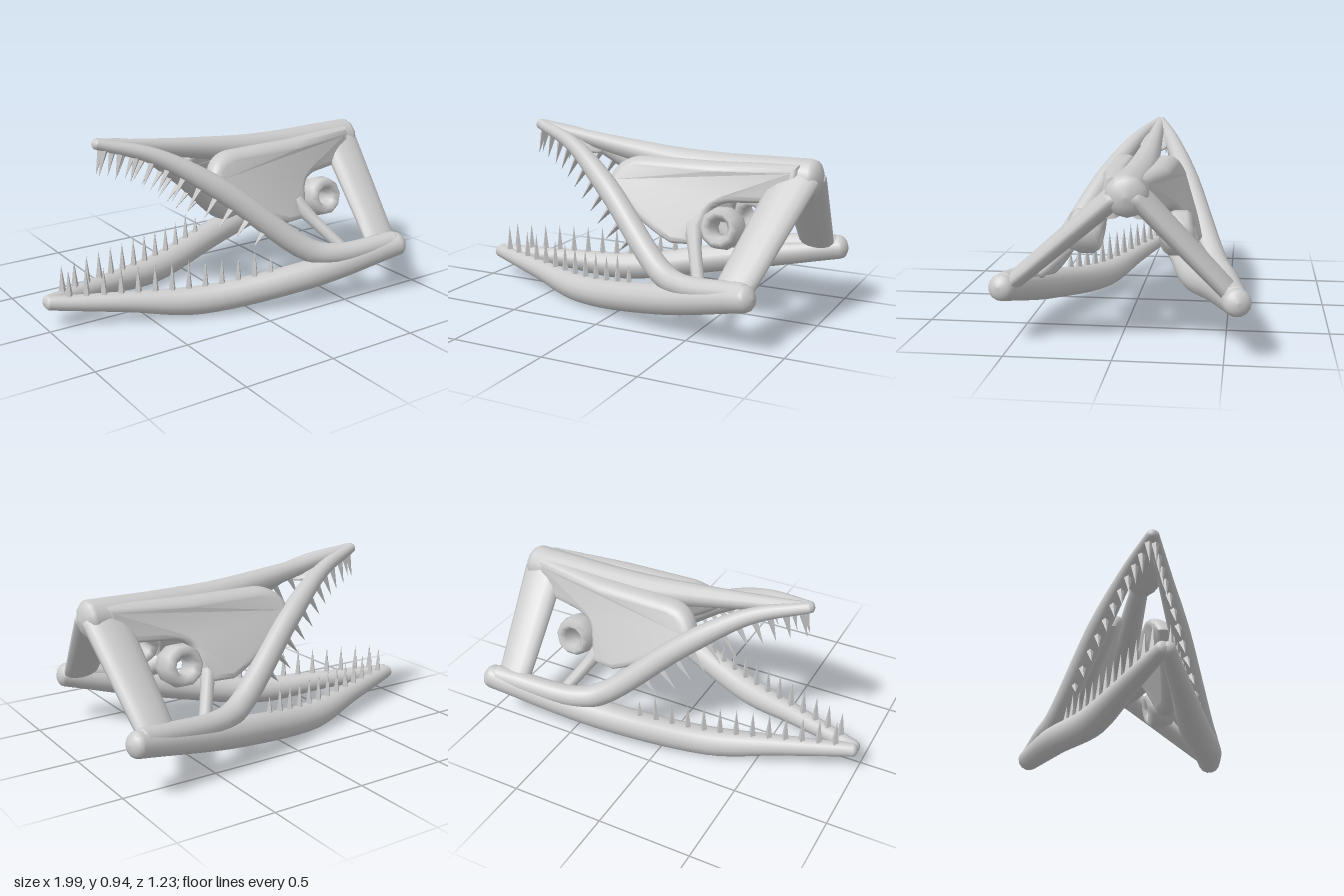
import * as THREE from 'three';
import { mergeVertices, toCreasedNormals } from 'three/addons/utils/BufferGeometryUtils.js';

const material = new THREE.MeshStandardMaterial({ color: 0xcccccc, side: THREE.DoubleSide });
const V = (x, y, z) => new THREE.Vector3(x, y, z);

// Point at distance w from the midline; the two sides are skewed towards the rear
const place = (s, x, y, w) =>
  V(x - s * 0.35 * w * Math.max(0, x - 0.55), y, -0.06 + w * (s + 0.1));

// Curve through [x, y, w, radius] stations on side s
function makePath(s, stations) {
  const curve = new THREE.CatmullRomCurve3(stations.map(([x, y, w]) => place(s, x, y, w)));
  const radii = new THREE.CatmullRomCurve3(stations.map(p => V(p[3], 0, 0)));
  return { curve, radius: t => radii.getPoint(t).x, steps: (stations.length - 1) * 7 };
}

// Round-ended bone of varying radius; refScale stretches the section along ref
function bone({ curve, radius, steps }, { ref = V(0, 1, 0), refScale = 1, sides = 14, cap = 0.7 } = {}) {
  const rings = [];
  const capAngles = [1.55, 1.1, 0.7, 0.35];
  for (const a of capAngles) rings.push([0, -Math.sin(a) * cap, Math.cos(a)]);
  for (let i = 0; i <= steps; i++) rings.push([i / steps, 0, 1]);
  for (const a of capAngles.reverse()) rings.push([1, Math.sin(a) * cap, Math.cos(a)]);

  const pos = [], index = [];
  rings.forEach(([t, push, scale], k) => {
    const r = radius(t);
    const tangent = curve.getTangent(t);
    const side = tangent.clone().cross(ref).normalize();
    const up = side.clone().cross(tangent);
    const c = curve.getPoint(t).addScaledVector(tangent, push * r);
    for (let j = 0; j < sides; j++) {
      const a = (j / sides) * Math.PI * 2;
      const p = c.clone()
        .addScaledVector(side, Math.cos(a) * r * scale)
        .addScaledVector(up, Math.sin(a) * r * scale * refScale);
      pos.push(p.x, p.y, p.z);
      if (k < rings.length - 1) {
        const n = (j + 1) % sides, o = k * sides, q = o + sides;
        index.push(o + j, q + j, o + n, o + n, q + j, q + n);
      }
    }
  });
  const g = new THREE.BufferGeometry();
  g.setAttribute('position', new THREE.Float32BufferAttribute(pos, 3));
  g.setIndex(index);
  g.computeVertexNormals();
  return g;
}

function add(parent, name, geometry) {
  const mesh = new THREE.Mesh(geometry, material);
  mesh.name = name;
  parent.add(mesh);
  return mesh;
}

// Slim four-sided tooth standing on base
function tooth(parent, base, dir, length) {
  const g = new THREE.ConeGeometry(0.021, length, 4).toNonIndexed();
  g.computeVertexNormals();
  const m = add(parent, 'tooth', g);
  m.position.copy(base).addScaledVector(dir, length / 2);
  m.quaternion.setFromUnitVectors(V(0, 1, 0), dir);
}

// Parameter on a curve where it reaches a given x
function atX(curve, x) {
  let lo = 0, hi = 1;
  for (let i = 0; i < 24; i++) {
    const mid = (lo + hi) / 2;
    if (curve.getPoint(mid).x < x) lo = mid; else hi = mid;
  }
  return lo;
}

// Swollen cheek plate leaning outwards below the crest
function cheekPlate(s) {
  const shape = new THREE.Shape();
  shape.moveTo(-0.08, 0.69);
  shape.quadraticCurveTo(-0.05, 0.77, 0.06, 0.77);
  shape.lineTo(0.45, 0.77);
  shape.lineTo(0.84, 0.78);
  shape.lineTo(0.84, 0.67);
  shape.lineTo(0.6, 0.66);
  shape.quadraticCurveTo(0.45, 0.66, 0.43, 0.56);
  shape.lineTo(0.40, 0.45);
  shape.lineTo(0.30, 0.45);
  shape.quadraticCurveTo(0.1, 0.52, -0.08, 0.69);
  const g = new THREE.ExtrudeGeometry(shape, {
    depth: 0.02, bevelSize: 0.04, bevelThickness: 0.045, bevelSegments: 6, curveSegments: 8,
  });
  g.translate(0, 0, -0.01);
  const p = g.attributes.position;
  for (let i = 0; i < p.count; i++) {
    const x = p.getX(i), y = p.getY(i);
    const taper = 1 - 0.6 * THREE.MathUtils.smoothstep(x, 0.3, 0.9);
    const lean = (0.1 + 0.42 * (0.82 - y)) * taper;
    p.setZ(i, -0.05 + s * lean + p.getZ(i));
  }
  g.deleteAttribute('normal');
  g.deleteAttribute('uv');
  return toCreasedNormals(mergeVertices(g, 1e-4), 0.9);
}

// One side of the skull
function createSide(s) {
  const half = new THREE.Group();
  half.name = s > 0 ? 'leftSide' : 'rightSide';

  // Jaws
  const lower = makePath(s, [[-0.97, 0.14, 0.01, 0.037], [-0.6, 0.11, 0.135, 0.055],
    [-0.24, 0.083, 0.255, 0.077], [0.3, 0.165, 0.43, 0.078], [0.88, 0.28, 0.55, 0.065]]);
  const upper = makePath(s, [[-0.67, 0.92, 0.005, 0.028], [-0.4, 0.84, 0.1, 0.042],
    [-0.1, 0.65, 0.23, 0.06], [0.32, 0.3, 0.42, 0.062], [0.46, 0.268, 0.475, 0.058],
    [0.85, 0.295, 0.54, 0.055]]);
  add(half, 'lowerJaw', bone(lower));
  add(half, 'upperJaw', bone(upper));

  // Cheek, rear beam and strut
  add(half, 'cheekPlate', cheekPlate(s));
  const beam = makePath(s, [[0.86, 0.745, 0.04, 0.055], [0.785, 0.31, 0.495, 0.044]]);
  add(half, 'rearBeam', bone(beam, { ref: V(1, 0, 0), refScale: 2.2, cap: 0.3 }));
  const strut = makePath(s, [[0.39, 0.5, 0.22, 0.05], [0.45, 0.4, 0.32, 0.034], [0.53, 0.28, 0.44, 0.032]]);
  add(half, 'cheekStrut', bone(strut, { sides: 8 }));

  // Deep faceted eye ring
  const eye = add(half, 'eyeRing', new THREE.TorusGeometry(0.075, 0.036, 8, 10));
  eye.scale.z = 2.4;
  eye.position.copy(place(s, 0.555, 0.505, 0.225));
  eye.rotation.x = -0.2 * s;

  // Upright lower teeth
  for (let i = 0; i < 13; i++) {
    const t = atX(lower.curve, -0.88 + i * 0.0825);
    const base = lower.curve.getPoint(t);
    base.y += lower.radius(t) * 0.8;
    const top = i < 11 ? 0.31 : 0.34 - (i - 11) * 0.045;
    tooth(half, base, V(0, 1, 0), top - base.y);
  }

  // Upper teeth, standing square to the curving jaw
  for (let i = 0; i < 11; i++) {
    const t = atX(upper.curve, -0.635 + i * 0.076);
    const tangent = upper.curve.getTangent(t);
    const out = V(tangent.y, -tangent.x, 0).normalize();
    const base = upper.curve.getPoint(t).addScaledVector(out, upper.radius(t) * 0.7);
    tooth(half, base, out, i < 10 ? 0.14 : 0.1);
  }
  return half;
}

export function createModel() {
  const skull = new THREE.Group();
  skull.name = 'skull';

  // Central crest and small palate bridge behind the snout
  const crest = makePath(1, [[-0.68, 0.92, 0, 0.026], [-0.4, 0.87, 0, 0.04],
    [-0.1, 0.82, 0, 0.057], [0.3, 0.765, 0, 0.08], [0.92, 0.745, 0, 0.1]]);
  add(skull, 'crest', bone(crest, { sides: 12, cap: 0.6 }));
  const palate = add(skull, 'palate', new THREE.SphereGeometry(1, 16, 10));
  palate.scale.set(0.13, 0.022, 0.09);
  palate.position.set(-0.4, 0.835, -0.055);
  palate.rotation.z = -0.4;

  for (const s of [1, -1]) skull.add(createSide(s));
  return skull;
}
